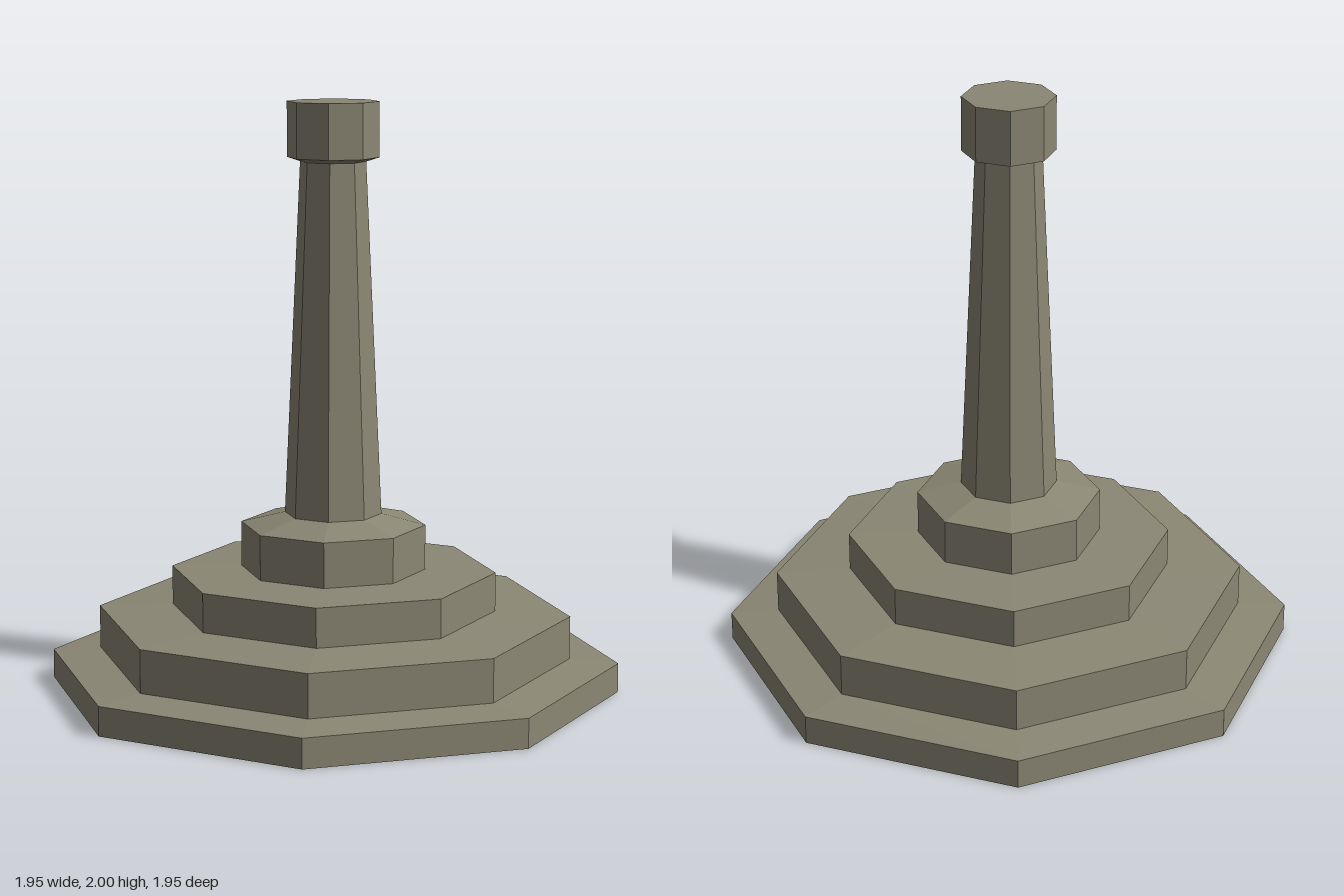
import * as THREE from 'three';

// Octagonal skin turned from [radius, height] pairs, corners on the x and z axes
function octagon(name, profile, material) {
  const points = profile.map(([r, y]) => new THREE.Vector2(r, y));
  const mesh = new THREE.Mesh(new THREE.LatheGeometry(points, 8), material);
  mesh.name = name;
  return mesh;
}

export function createModel() {
  const group = new THREE.Group();
  group.name = 'steppedColumn';
  const stone = new THREE.MeshStandardMaterial({
    name: 'stone', color: 0x8b8774, flatShading: true, side: THREE.DoubleSide,
  });

  // Hollow base of four tiers, open underneath: [radius, wall bottom, wall top]
  const tiers = [
    [0.975, 0, 0.1],
    [0.81, 0.113, 0.26],
    [0.555, 0.274, 0.407],
    [0.315, 0.414, 0.568],
  ];
  const baseProfile = tiers.flatMap(([r, y0, y1]) => [[r, y0], [r, y1]]);
  baseProfile.push([0.165, 0.605]);
  group.add(octagon('steppedBase', baseProfile, stone));

  // Tapered shaft
  group.add(octagon('shaft', [[0.165, 0.605], [0.111, 1.8]], stone));

  // Capital with a chamfered underside and flat top
  group.add(octagon('capital', [[0.111, 1.8], [0.155, 1.814], [0.155, 2], [0, 2]], stone));

  return group;
}
